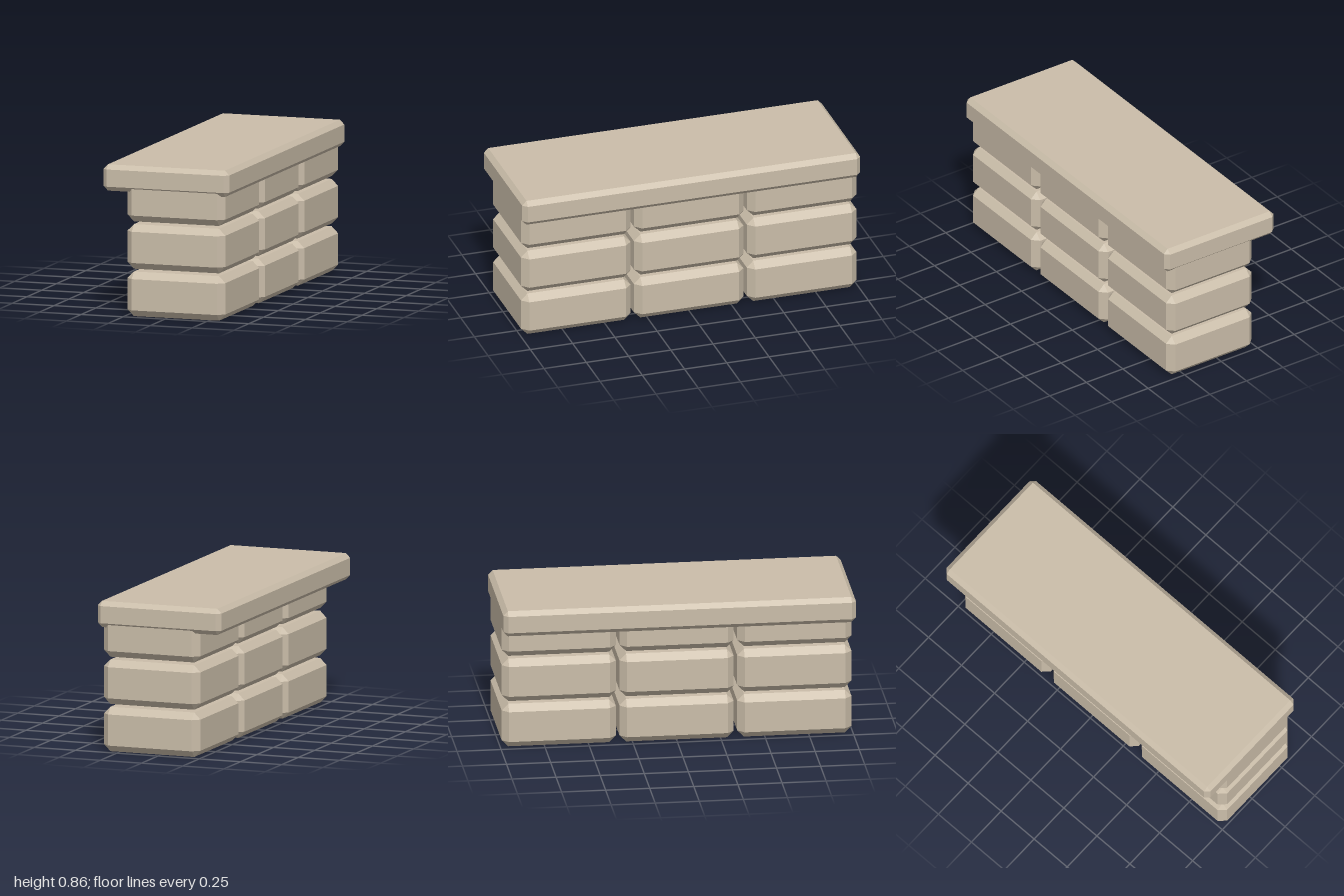
import * as THREE from 'three';
import { ConvexGeometry } from 'three/addons/geometries/ConvexGeometry.js';

// Box with every edge cut by a flat bevel and every corner cut to a triangle
function bevelledBox(w, h, d, bevel) {
  const x = w / 2, y = h / 2, z = d / 2;
  const points = [];
  for (const sx of [-1, 1]) for (const sy of [-1, 1]) for (const sz of [-1, 1]) {
    points.push(
      new THREE.Vector3(sx * x, sy * (y - bevel), sz * (z - bevel)),
      new THREE.Vector3(sx * (x - bevel), sy * y, sz * (z - bevel)),
      new THREE.Vector3(sx * (x - bevel), sy * (y - bevel), sz * z));
  }
  return new ConvexGeometry(points);
}

export function createModel() {
  const model = new THREE.Group();
  model.name = 'stoneWall';
  const stone = new THREE.MeshStandardMaterial({ color: 0xcabda9 });
  stone.name = 'paleStone';

  // Three courses of three blocks, the top course set into the capstone
  const blockGeometry = bevelledBox(0.584, 0.254, 0.648, 0.038);
  const blocks = new THREE.Group();
  blocks.name = 'blocks';
  for (let row = 0; row < 3; row++) {
    for (let column = -1; column <= 1; column++) {
      const block = new THREE.Mesh(blockGeometry, stone);
      block.name = `blockRow${row + 1}Column${column + 2}`;
      block.position.set(0.053, 0.127 + row * 0.27, 0.001 + column * 0.668);
      blocks.add(block);
    }
  }
  model.add(blocks);

  // Long overhanging slab on top
  const capstone = new THREE.Mesh(bevelledBox(0.75, 0.15, 2, 0.026), stone);
  capstone.name = 'capstone';
  capstone.position.y = 0.785;
  model.add(capstone);

  return model;
}
